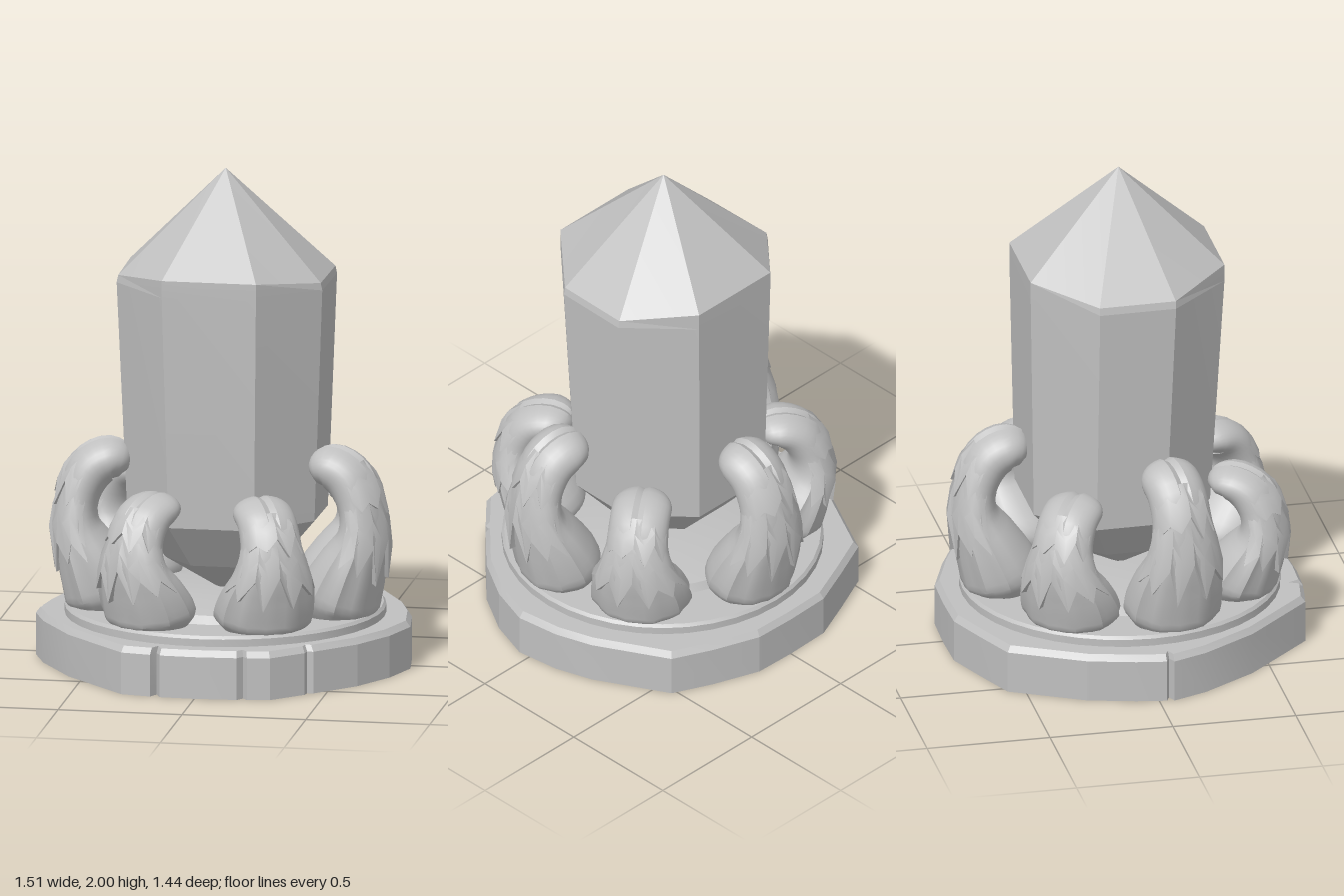
import * as THREE from 'three';
import { toCreasedNormals } from 'three/addons/utils/BufferGeometryUtils.js';

const stone = new THREE.MeshStandardMaterial({ color: 0xc0c0c0 });
stone.name = 'grey stone';

// Skin a stack of rings (each an array of Vector3, running from +z towards +x, bottom to top)
function loft(rings, crease, closed = true) {
  const n = rings[0].length, pos = [], index = [];
  rings.forEach(r => r.forEach(p => pos.push(p.x, p.y, p.z)));
  for (let j = 0; j < rings.length - 1; j++) {
    for (let i = 0; i < (closed ? n : n - 1); i++) {
      const k = (i + 1) % n, a = j * n + i, b = j * n + k;
      index.push(a, b, a + n, b, b + n, a + n);
    }
  }
  if (closed) {
    [0, rings.length - 1].forEach((j, top) => {
      const c = rings[j].reduce((s, p) => s.add(p), new THREE.Vector3()).divideScalar(n);
      const id = pos.length / 3;
      pos.push(c.x, c.y, c.z);
      for (let i = 0; i < n; i++) {
        const a = j * n + i, b = j * n + (i + 1) % n;
        if (top) index.push(a, b, id); else index.push(b, a, id);
      }
    });
  }
  const geo = new THREE.BufferGeometry();
  geo.setAttribute('position', new THREE.Float32BufferAttribute(pos, 3));
  geo.setIndex(index);
  return toCreasedNormals(geo, crease);
}

function part(name, geo) {
  const mesh = new THREE.Mesh(geo, stone);
  mesh.name = name;
  return mesh;
}

const ring = (outline, y, s = 1, dz = 0) =>
  outline.map(([x, z]) => new THREE.Vector3(x * s, y, z * s + dz));

// Claw spine (outward z, height y) and its half thickness and half width
const spine = new THREE.CatmullRomCurve3([
  [0.47, 0.22], [0.49, 0.30], [0.54, 0.42], [0.595, 0.56], [0.585, 0.68],
  [0.535, 0.785], [0.465, 0.825], [0.41, 0.815], [0.375, 0.80],
].map(([z, y]) => new THREE.Vector3(0, y, z)));
const girth = new THREE.CatmullRomCurve3([
  [0.13, 0.15], [0.16, 0.20], [0.135, 0.19], [0.095, 0.15], [0.085, 0.125],
  [0.095, 0.12], [0.09, 0.12], [0.07, 0.095], [0.02, 0.03],
].map(([t, w]) => new THREE.Vector3(t, w, 0)));

function clawPoint(t, phi, s = 1) {
  const c = spine.getPoint(t), g = girth.getPoint(t), d = spine.getTangent(t);
  const out = Math.cos(phi) * g.x * s;
  return new THREE.Vector3(Math.sin(phi) * g.y * s, c.y - d.z * out, c.z + d.y * out);
}

// Claw body: fluted fur low down, a split groove along the knuckle
function clawBody() {
  const rings = [], sides = 32, rows = 26;
  for (let j = 0; j <= rows; j++) {
    const t = j / rows, row = [];
    for (let i = 0; i < sides; i++) {
      const phi = i / sides * Math.PI * 2;
      let s = 1;
      if (t > 0.55 && i === 0) s = 0.84;
      if (t < 0.5 && Math.cos(phi) > -0.3) s += 0.035 * (i % 3 - 1) * Math.sin(t * 2 * Math.PI);
      row.push(clawPoint(t, phi, s));
    }
    rings.push(row);
  }
  return loft(rings, 0.6);
}

// Overhanging fur flap with a zigzag lower edge
function furFlap(low, depth, top, reach, teeth) {
  const rows = [[], [], [], []], n = teeth * 2;
  for (let i = 0; i <= n; i++) {
    const u = i / n * 2 - 1, phi = u * reach;
    const edge = low + (i % 2 ? 0 : depth) + 0.02 * Math.sin(i * 2.3);
    const lift = 0.15 * Math.cos(u * Math.PI / 2);
    rows[0].push(clawPoint(edge, phi, 0.95));
    rows[1].push(clawPoint(edge, phi, 1 + lift));
    rows[2].push(clawPoint((edge + top) / 2, phi, 1 + lift * 0.6));
    rows[3].push(clawPoint(top, phi, 0.98));
  }
  return loft(rows, 0.6, false);
}

export function createModel() {
  const model = new THREE.Group();
  model.name = 'crystalPedestal';

  // Rough slab with chipped notches in its rim
  const slab = [
    [0, 0.72], [0.17, 0.71], [0.19, 0.68], [0.21, 0.705], [0.30, 0.69], [0.42, 0.575],
    [0.425, 0.545], [0.45, 0.545], [0.60, 0.39], [0.70, 0.22], [0.755, 0.05], [0.73, -0.13],
    [0.68, -0.28], [0.52, -0.57], [0.36, -0.645], [0.17, -0.715], [0, -0.72], [-0.19, -0.715],
    [-0.36, -0.645], [-0.53, -0.57], [-0.68, -0.28], [-0.73, -0.09], [-0.75, 0.03],
    [-0.72, 0.045], [-0.755, 0.06], [-0.70, 0.20], [-0.56, 0.42], [-0.30, 0.69],
    [-0.18, 0.71], [-0.16, 0.67], [-0.14, 0.715],
  ];
  model.add(part('slab', loft(
    [ring(slab, 0), ring(slab, 0.17), ring(slab, 0.195, 0.975)], 0.2)));

  // Round step and the low mound under the crystal
  const circle = Array.from({ length: 40 }, (_, i) => {
    const a = i / 40 * Math.PI * 2;
    return [Math.sin(a), Math.cos(a)];
  });
  model.add(part('step', loft(
    [ring(circle, 0.19, 0.64), ring(circle, 0.225, 0.64), ring(circle, 0.237, 0.63)], 0.4)));
  model.add(part('mound', loft(
    [ring(circle, 0.23, 0.44), ring(circle, 0.27, 0.42), ring(circle, 0.30, 0.25)], 0.4)));

  // Eight-sided crystal, pointed at both ends
  const half = [[0.19, 0.385], [0.415, 0.14], [0.42, -0.17], [0.20, -0.405]];
  const octagon = [...half, ...half.slice().reverse().map(([x, z]) => [-x, z])];
  const shoulder = ring(octagon, 1.62);
  shoulder.forEach(p => {
    if (Math.abs(p.x) > 0.3) { p.y = 1.58; p.x *= 0.985; }
  });
  model.add(part('crystal', loft([
    ring(octagon, 0.29, 0.05), ring(octagon, 0.42, 0.55, -0.01), ring(octagon, 0.60, 0.91, -0.02),
    ring(octagon, 1.55), shoulder, ring(octagon, 2, 0.002, -0.005),
  ], 0.15)));

  // Seven claws around the crystal, alternating short and tall
  const body = clawBody();
  const flaps = [furFlap(0.27, 0.09, 0.52, 1.8, 6), furFlap(0.47, 0.06, 0.64, 1.3, 4)];
  [[28, 0.78], [77, 1], [125, 0.78], [180, 1], [-125, 0.78], [-77, 1], [-28, 0.78]]
    .forEach(([deg, height]) => {
      const claw = new THREE.Group();
      claw.name = height < 1 ? 'shortClaw' : 'tallClaw';
      claw.add(part('clawBody', body));
      flaps.forEach(f => claw.add(part('furFlap', f)));
      claw.rotation.y = THREE.MathUtils.degToRad(deg);
      claw.scale.y = height;
      claw.position.y = 0.24 * (1 - height);
      model.add(claw);
    });

  return model;
}
